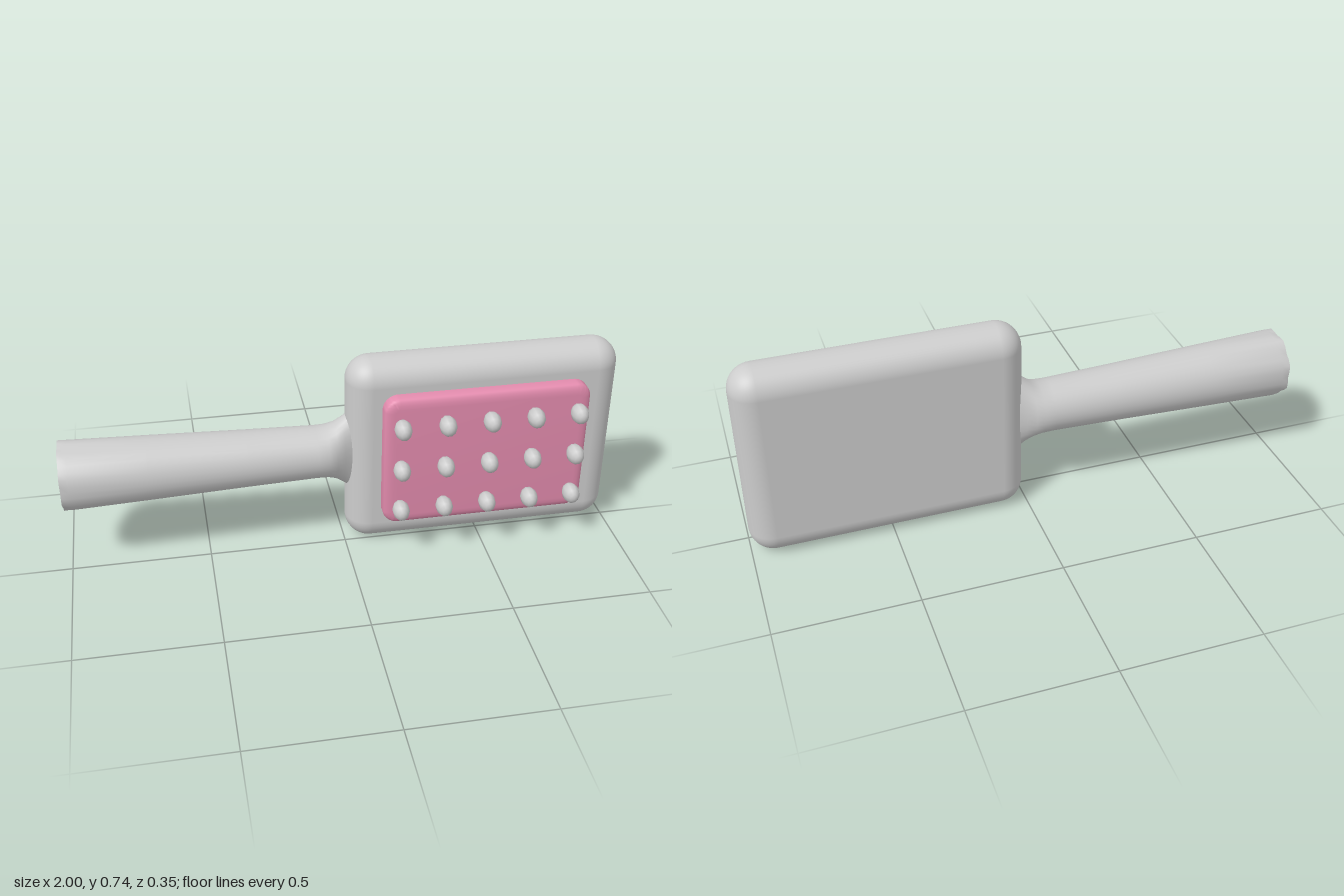
import * as THREE from 'three';
import { toCreasedNormals } from 'three/addons/utils/BufferGeometryUtils.js';
import { RoundedBoxGeometry } from 'three/addons/geometries/RoundedBoxGeometry.js';

const CY = 0.372, CZ = -0.052;

// Handle cross-sections from the butt to the flared neck: [x, half height, half depth]
const SECTIONS = [
  [-1, 0.12, 0.118], [-0.97, 0.124, 0.122], [-0.7, 0.115, 0.115], [-0.35, 0.102, 0.105],
  [-0.1, 0.095, 0.098], [-0.06, 0.098, 0.095], [-0.03, 0.11, 0.085], [0, 0.135, 0.065], [0.04, 0.17, 0.05],
];

function handleGeometry() {
  const n = SECTIONS.length - 1;
  const geo = new THREE.CylinderGeometry(1, 1, 1, 32, n);
  geo.rotateZ(-Math.PI / 2); // axis along +x
  const p = geo.attributes.position;
  for (let i = 0; i < p.count; i++) {
    const k = Math.round((p.getX(i) + 0.5) * n);
    const [x, ry, rz] = SECTIONS[k];
    const y = p.getY(i), z = p.getZ(i);
    // slightly scalloped rim at the butt end
    const wave = k === 0 ? 1 - 0.05 * Math.cos(8 * Math.atan2(y, z)) : 1;
    p.setXYZ(i, x, y * ry * wave, z * rz * wave);
  }
  return toCreasedNormals(geo, Math.PI / 4);
}

// Rectangle with rounded corners, centred on the origin
function roundedRect(w, h, r) {
  const s = new THREE.Shape();
  const a = w / 2 - r, b = h / 2 - r;
  s.absarc(a, b, r, 0, Math.PI / 2);
  s.absarc(-a, b, r, Math.PI / 2, Math.PI);
  s.absarc(-a, -b, r, Math.PI, Math.PI * 1.5);
  s.absarc(a, -b, r, Math.PI * 1.5, Math.PI * 2);
  s.closePath();
  return s;
}

export function createModel() {
  const grey = new THREE.MeshStandardMaterial({ color: 0xcccccc });
  grey.name = 'light grey';
  const pink = new THREE.MeshStandardMaterial({ color: 0xe28bad });
  pink.name = 'pink';

  const model = new THREE.Group();
  model.name = 'paddleBrush';
  const add = (name, geo, mat, x, y, z) => {
    const mesh = new THREE.Mesh(geo, mat);
    mesh.name = name;
    mesh.position.set(x, y, z);
    model.add(mesh);
    return mesh;
  };

  // Paddle head and handle
  add('head', new RoundedBoxGeometry(0.99, 0.735, 0.18, 6, 0.088), grey, 0.503, CY, CZ);
  add('handle', handleGeometry(), grey, 0, CY, CZ);

  // Cushion with a shallow bevelled front edge
  const bevel = 0.035;
  const pad = new THREE.ExtrudeGeometry(roundedRect(0.745 - 2 * bevel, 0.51 - 2 * bevel, 0.02), {
    depth: 0.07, bevelSize: bevel, bevelThickness: 0.016, bevelSegments: 4, curveSegments: 6,
  });
  add('cushion', toCreasedNormals(pad, Math.PI / 4), pink, 0.498, 0.373, 0.002);

  // Bristle tips in a grid of five by three
  const tip = new THREE.SphereGeometry(1, 10, 7);
  tip.rotateX(Math.PI / 2);
  tip.scale(0.031, 0.036, 0.043);
  for (let col = 0; col < 5; col++) {
    for (let row = 0; row < 3; row++) {
      add('bristle', tip, grey, 0.18 + col * 0.159, 0.204 + row * 0.167, 0.131);
    }
  }
  return model;
}
